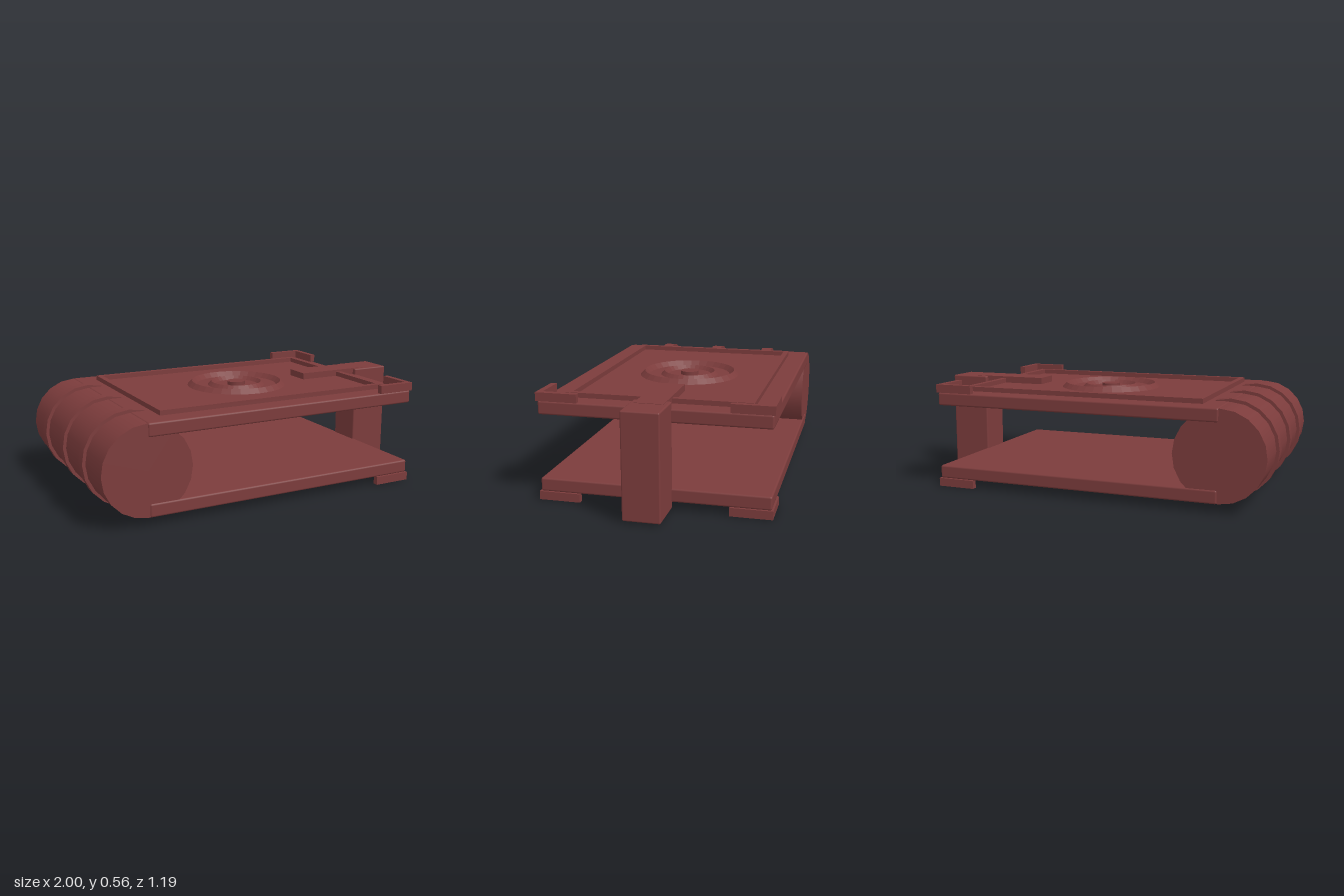
import * as THREE from 'three';
import { RoundedBoxGeometry } from 'three/addons/geometries/RoundedBoxGeometry.js';

const MID = 0.279; // height of the plane of symmetry between the covers
const FACE = 0.235; // outer cover face, measured from that plane

export function createModel() {
  const model = new THREE.Group();
  model.name = 'claspedBook';
  const leather = new THREE.MeshStandardMaterial({ color: 0x7c3c3c });
  leather.name = 'reddish brown leather';

  const add = (parent, name, geometry, x = 0, y = 0, z = 0) => {
    const mesh = new THREE.Mesh(geometry, leather);
    mesh.name = name;
    mesh.position.set(x, y, z);
    parent.add(mesh);
    return mesh;
  };
  const flat = (geometry) => {
    const g = geometry.toNonIndexed();
    g.computeVertexNormals();
    return g;
  };
  // Flat outline in x and z, raised from the cover face by the given height
  const raised = (shape, height) =>
    new THREE.ExtrudeGeometry(shape, { depth: height, bevelEnabled: false }).rotateX(-Math.PI / 2);
  const outline = (points, Type = THREE.Shape) => new Type(points.map(([x, y]) => new THREE.Vector2(x, y)));
  const rect = (x0, x1, z, Type) => outline([[x0, -z], [x1, -z], [x1, z], [x0, z]], Type);

  // One cover with its ornaments, centred on the plane of symmetry
  function buildCover(name) {
    const cover = new THREE.Group();
    cover.name = name;
    add(cover, 'coverBoard', new RoundedBoxGeometry(1.54, 0.07, 1.172, 2, 0.01), 0.025, 0.2, 0);

    // Raised rectangular border
    const frame = rect(-0.64, 0.69, 0.477);
    frame.holes.push(rect(-0.61, 0.66, 0.447, THREE.Path));
    add(cover, 'borderFrame', raised(frame, 0.025), 0, FACE, 0);

    // Concentric rings and centre stud
    for (const [radius, tube] of [[0.25, 0.025], [0.14, 0.02]]) {
      const ring = flat(new THREE.TorusGeometry(radius, tube, 4, 32).rotateX(Math.PI / 2));
      add(cover, 'medallionRing', ring, 0.025, FACE, 0);
    }
    add(cover, 'centreStud', new THREE.CylinderGeometry(0.05, 0.05, 0.04, 16), 0.025, FACE, 0);

    // L-shaped corner guards, mirrored front to back
    for (const side of [1, -1]) {
      const points = [[0.593, 0.593], [0.593, 0.563], [0.77, 0.563], [0.77, 0.38], [0.8, 0.38], [0.8, 0.593]];
      const guard = outline(points.map(([x, z]) => [x, z * side]));
      add(cover, 'cornerGuard', raised(guard, 0.044), 0, FACE, 0);
    }

    // Strap leading to the clasp
    add(cover, 'claspStrap', new THREE.BoxGeometry(0.42, 0.036, 0.145), 0.64, FACE + 0.018, 0);
    return cover;
  }

  const top = buildCover('topCover');
  const bottom = buildCover('bottomCover');
  bottom.rotation.x = Math.PI;
  top.position.y = bottom.position.y = MID;
  model.add(top, bottom);

  // Round spine with three raised bands
  const spine = new THREE.Group();
  spine.name = 'spine';
  spine.position.set(-0.75, MID, 0);
  model.add(spine);
  const roller = (radius, length) => new THREE.CylinderGeometry(radius, radius, length, 20).rotateX(Math.PI / 2);
  add(spine, 'spineRoll', roller(0.233, 1.162));
  for (const z of [-0.322, 0, 0.322]) add(spine, 'spineBand', roller(0.25, 0.058), 0, 0, z);

  // Clasp block joining the two straps
  add(model, 'claspBlock', new RoundedBoxGeometry(0.22, 0.538, 0.19, 2, 0.008), 0.89, MID, 0);

  return model;
}
